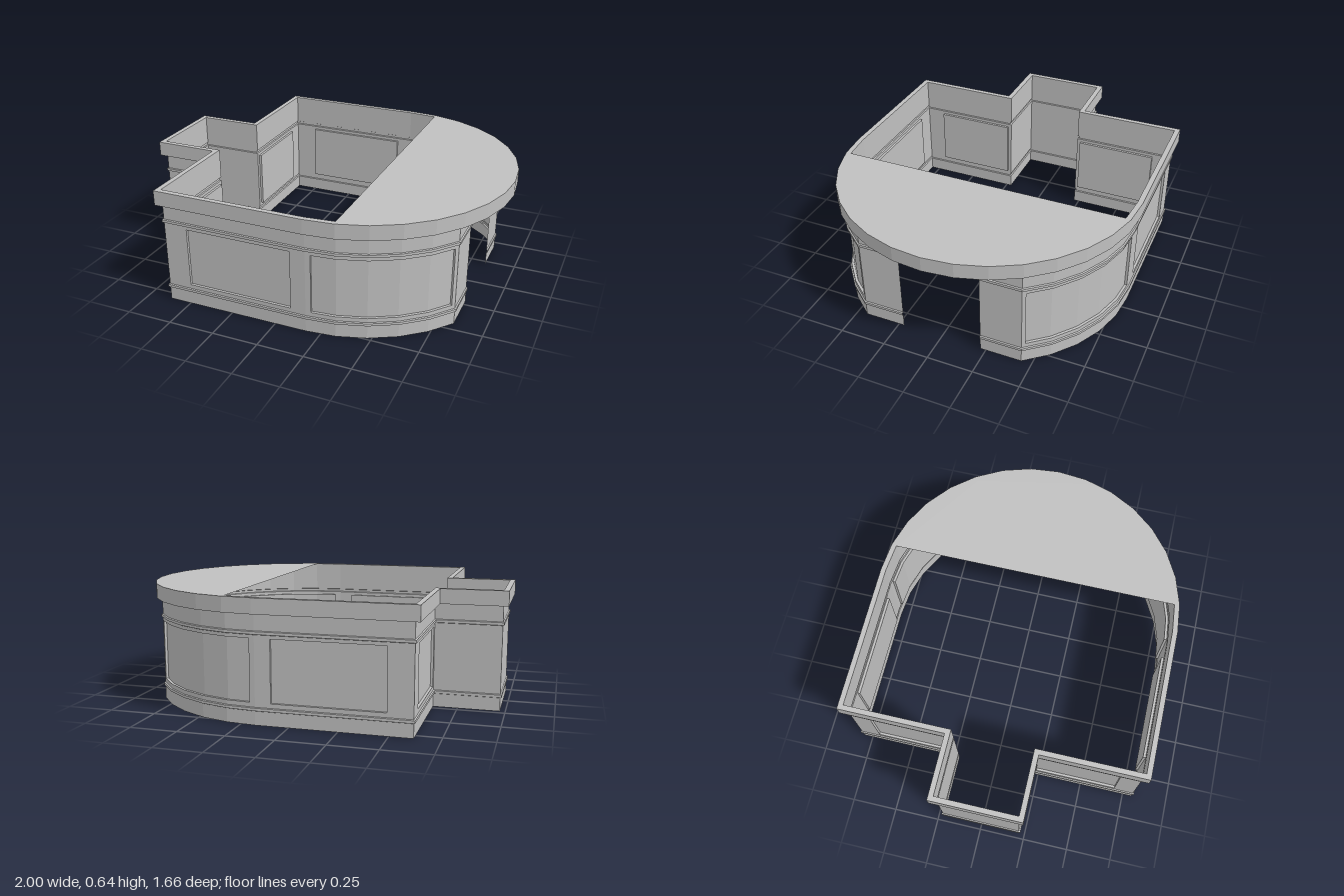
import * as THREE from 'three';

const R = 0.8, CX = 0.172, STEP = Math.PI / 16;   // rounded end: radius, centre, facet angle
const WALL_TOP = 0.56, TOP = 0.64, DOOR = 0.22, BACK = -0.62, END = -0.972;
const RIDGE = 0.007, RECESS = -0.014;
const arc = (i) => [CX + R * Math.cos(i * STEP), R * Math.sin(i * STEP)];
const mix = (a, b, t) => [a[0] + (b[0] - a[0]) * t, a[1] + (b[1] - a[1]) * t];

// Closes a half plan by mirroring it over z = 0
const mirrorPlan = (half) => [...half, ...half.slice().reverse().map(([x, z]) => [x, -z])];

// Mitred outward direction at every corner of a closed plan
function mitres(plan) {
  const n = plan.length;
  const normal = (a, b) => {
    const dx = b[0] - a[0], dz = b[1] - a[1], l = Math.hypot(dx, dz);
    return [dz / l, -dx / l];
  };
  return plan.map((p, i) => {
    const a = normal(plan[(i + n - 1) % n], p), b = normal(p, plan[(i + 1) % n]);
    const k = 1 + a[0] * b[0] + a[1] * b[1];
    return [(a[0] + b[0]) / k, (a[1] + b[1]) / k];
  });
}

// Sweeps an [offset, height] profile along chosen edges of a closed plan
function sweep(plan, profileOf) {
  const m = mitres(plan), out = [];
  const at = (i, [o, y]) => [plan[i][0] + m[i][0] * o, y, plan[i][1] + m[i][1] * o];
  plan.forEach((_, i) => {
    const j = (i + 1) % plan.length;
    for (const profile of profileOf(i)) {
      for (let k = 0; k + 1 < profile.length; k++) {
        const a = at(j, profile[k]), b = at(i, profile[k]);
        const c = at(i, profile[k + 1]), d = at(j, profile[k + 1]);
        out.push(...a, ...b, ...c, ...a, ...c, ...d);
      }
    }
  });
  // Short returns at the ends of a recessed run
  const jamb = (i, y0, y1) => {
    const a = at(i, [0, y0]), b = at(i, [RECESS, y0]), c = at(i, [RECESS, y1]), d = at(i, [0, y1]);
    out.push(...a, ...b, ...c, ...a, ...c, ...d);
  };
  return { out, jamb };
}

function toGeometry(positions) {
  const g = new THREE.BufferGeometry();
  g.setAttribute('position', new THREE.Float32BufferAttribute(positions, 3));
  g.computeVertexNormals();
  return g;
}

// Flat horizontal plate from plan points
function plate(points, y) {
  const shape = new THREE.Shape(points.map(([x, z]) => new THREE.Vector2(x, z)));
  return new THREE.ShapeGeometry(shape).rotateX(Math.PI / 2).translate(0, y, 0);
}

export function createModel() {
  const group = new THREE.Group();
  const grey = new THREE.MeshStandardMaterial({ color: 0xc0c0c0, side: THREE.DoubleSide, flatShading: true });
  grey.name = 'plain grey';
  const add = (name, geometry) => {
    const mesh = new THREE.Mesh(geometry, grey);
    mesh.name = name;
    group.add(mesh);
  };

  // Half plan of the wall from the doorway round to the alcove; true = recessed panel on the next edge
  const flatX = arc(3)[0];
  const half = [
    [[flatX, DOOR], false],
    [arc(3), false],
    [mix(arc(3), arc(4), 0.13), true],
    [arc(4), true], [arc(5), true], [arc(6), true], [arc(7), true],
    [mix(arc(7), arc(8), 0.82), false],
    [arc(8), false],
    [[0.09, R], true],
    [[-0.49, R], false],
    [[BACK, R], false],
    [[BACK, 0.69], true],
    [[BACK, 0.24], false],
    [[BACK, DOOR], false],
    [[END, DOOR], false],
  ];
  const n = half.length;
  const wallPlan = mirrorPlan(half.map((h) => h[0]));
  const recessed = (i) => (i < n ? half[i][1] : i < 2 * n - 1 && half[2 * n - 2 - i][1]);

  // Wall profiles with a raised bead above the base and below the frieze
  const P0 = 0.115, P1 = 0.437;
  const lower = [[0, 0], [0, 0.072], [RIDGE, 0.075], [RIDGE, 0.089], [0, 0.092], [0, P0]];
  const upper = [[0, P1], [0, 0.455], [RIDGE, 0.458], [RIDGE, 0.472], [0, 0.475], [0, WALL_TOP]];
  const walls = sweep(wallPlan, (i) => {
    if (i === 2 * n - 1) return [upper.slice(1)];          // lintel over the doorway
    return recessed(i) ? [lower, upper] : [[...lower, ...upper]];
  });
  add('walls', toGeometry(walls.out));

  // Recessed panels with their edges
  const panels = sweep(wallPlan, (i) =>
    recessed(i) ? [[[0, P0], [RECESS, P0], [RECESS, P1], [0, P1]]] : []);
  wallPlan.forEach((_, i) => {
    if (recessed(i) !== recessed((i + 2 * n - 1) % (2 * n))) panels.jamb(i, P0, P1);
  });
  add('recessedPanels', toGeometry(panels.out));

  // Cornice: square trim all round, following the full curve
  const rounded = (a, b) => Array.from({ length: b - a + 1 }, (_, i) => arc(a + i));
  const cornicePlan = [
    ...rounded(0, 8), [BACK, R], [BACK, DOOR], [END, DOOR],
    [END, -DOOR], [BACK, -DOOR], [BACK, -R], ...rounded(-8, -1),
  ];
  const T = 0.028;
  const cornice = sweep(cornicePlan, () =>
    [[[0, WALL_TOP], [T, WALL_TOP], [T, TOP], [0, TOP], [0, WALL_TOP]]]);
  add('cornice', toGeometry(cornice.out));

  // Half-moon roof over the rounded end, and the soffit in front of the doorway
  add('roof', plate(rounded(-7, 7), TOP));
  add('soffit', plate(rounded(-3, 3), WALL_TOP));

  return group;
}
